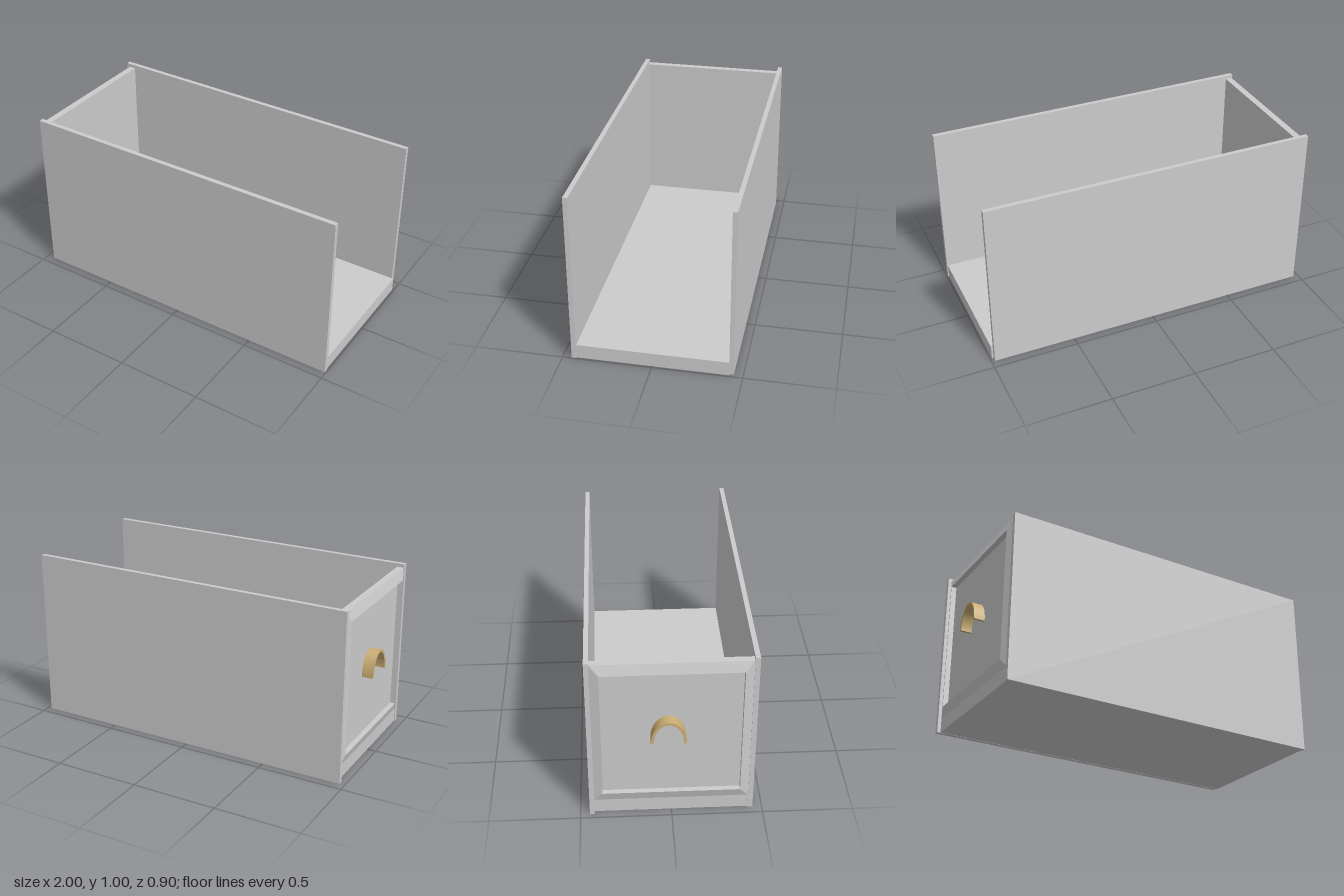
import * as THREE from 'three';
import { toCreasedNormals } from 'three/addons/utils/BufferGeometryUtils.js';

// Joins rectangular cross-sections [x, y0, y1, z0, z1], ordered towards -x, and caps both ends
function loftRects(sections) {
  const rings = sections.map(([x, y0, y1, z0, z1]) => [[x, y0, z0], [x, y0, z1], [x, y1, z1], [x, y1, z0]]);
  const pos = [];
  const quad = (a, b, c, d) => [a, b, c, a, c, d].forEach((p) => pos.push(...p));
  for (let i = 0; i < rings.length - 1; i++) {
    const a = rings[i], b = rings[i + 1];
    for (let k = 0; k < 4; k++) {
      const n = (k + 1) % 4;
      quad(a[k], a[n], b[n], b[k]);
    }
  }
  quad(...rings[rings.length - 1]);
  quad(...rings[0].slice().reverse());
  const geo = new THREE.BufferGeometry();
  geo.setAttribute('position', new THREE.Float32BufferAttribute(pos, 3));
  geo.computeVertexNormals();
  return geo;
}

export function createModel() {
  const group = new THREE.Group();
  const panelGrey = new THREE.MeshStandardMaterial({ color: 0xcccccc });
  panelGrey.name = 'panelGrey';
  const brass = new THREE.MeshStandardMaterial({ color: 0xcbae74 });
  brass.name = 'brass';

  const add = (name, geo, mat) => {
    const mesh = new THREE.Mesh(geo, mat);
    mesh.name = name;
    group.add(mesh);
    return mesh;
  };
  // Box given by its limits on each axis
  const board = (name, x0, x1, y0, y1, z0, z1) => {
    const mesh = add(name, new THREE.BoxGeometry(x1 - x0, y1 - y0, z1 - z0), panelGrey);
    mesh.position.set((x0 + x1) / 2, (y0 + y1) / 2, (z0 + z1) / 2);
  };

  // Long sides and floor
  board('frontSide', -0.955, 0.995, 0, 1, 0.422, 0.449);
  board('backSide', -0.97, 0.98, 0, 1, -0.449, -0.423);
  board('floor', -0.95, 0.99, 0.001, 0.084, -0.423, 0.422);

  // End panel with a bevelled frame around a recessed field
  add('endPanel', loftRects([
    [-0.91, 0.084, 0.98, -0.423, 0.422],
    [-0.95, 0.084, 0.98, -0.423, 0.422],
    [-0.967, 0.14, 0.92, -0.375, 0.374],
    [-0.936, 0.14, 0.92, -0.375, 0.374],
  ]), panelGrey);

  // Arched strap handle, open at the bottom
  const arch = new THREE.Shape();
  arch.absellipse(0, 0, 0.095, 0.137, 0, Math.PI, false);
  arch.absellipse(0, 0, 0.08, 0.122, Math.PI, 0, true);
  arch.closePath();
  const strap = new THREE.ExtrudeGeometry(arch, { depth: 0.064, bevelEnabled: false, curveSegments: 24 });
  const handle = add('handle', toCreasedNormals(strap, 0.6), brass);
  handle.rotation.y = -Math.PI / 2;
  handle.position.set(-0.936, 0.5, -0.018);

  return group;
}
